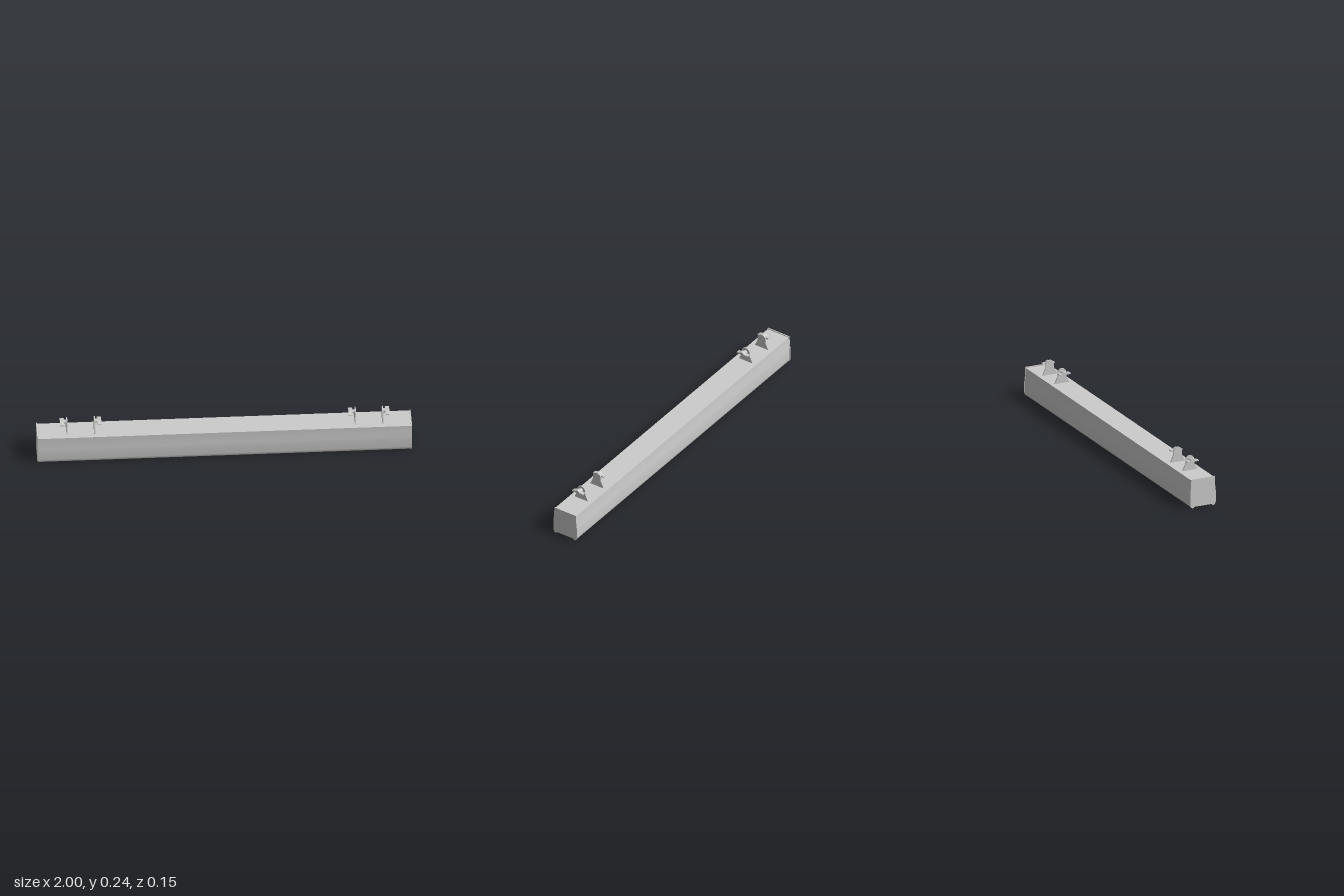
import * as THREE from 'three';
import { toCreasedNormals } from 'three/addons/utils/BufferGeometryUtils.js';

const material = new THREE.MeshStandardMaterial({ color: 0xcccccc });

function addMesh(parent, geometry, name) {
  const mesh = new THREE.Mesh(geometry, material);
  mesh.name = name;
  parent.add(mesh);
  return mesh;
}

// Extrude a (z, y) shape along x, from x0 to x1
function extrudeX(shape, x0, x1) {
  const g = new THREE.ExtrudeGeometry(shape, { depth: x1 - x0, bevelEnabled: false, curveSegments: 10 });
  g.rotateY(-Math.PI / 2).translate(x1, 0, 0);
  return toCreasedNormals(g, 0.6);
}

// Housing section: flared sides, rolled lower lips, recessed underside
function housingShape(inset, top, recess) {
  const w = 0.076 - inset, t = 0.07 - inset, b = inset;
  const s = new THREE.Shape();
  s.moveTo(-t, top);
  s.lineTo(-t - 0.001, 0.122);
  s.lineTo(-w + 0.001, 0.088);
  s.lineTo(-w, 0.075);
  s.lineTo(-w, 0.025);
  s.bezierCurveTo(-w, 0.01, -0.07, b, -0.061, b);
  s.quadraticCurveTo(-0.055, b, -0.051, recess);
  s.lineTo(0.051, recess);
  s.quadraticCurveTo(0.055, b, 0.061, b);
  s.bezierCurveTo(0.07, b, w, 0.01, w, 0.025);
  s.lineTo(w, 0.075);
  s.lineTo(w - 0.001, 0.088);
  s.lineTo(t + 0.001, 0.122);
  s.lineTo(t, top);
  s.closePath();
  return s;
}

// Upright tab: wide foot, narrowed neck, round head
function tabShape() {
  const s = new THREE.Shape();
  s.moveTo(0.041, 0.155);
  s.lineTo(0.041, 0.162);
  s.lineTo(0.025, 0.196);
  s.lineTo(0.025, 0.215);
  s.absarc(0, 0.215, 0.025, 0, Math.PI, false);
  s.lineTo(-0.025, 0.196);
  s.lineTo(-0.041, 0.162);
  s.lineTo(-0.041, 0.155);
  s.closePath();
  return s;
}

// Twisted wing of the clamp screw
function wingShape() {
  const s = new THREE.Shape();
  s.moveTo(0.037, 0.218);
  s.quadraticCurveTo(0.018, 0.223, 0.008, 0.228);
  s.quadraticCurveTo(-0.003, 0.231, -0.011, 0.219);
  s.lineTo(-0.032, 0.218);
  s.lineTo(-0.032, 0.212);
  s.quadraticCurveTo(-0.016, 0.208, -0.007, 0.204);
  s.quadraticCurveTo(0.006, 0.202, 0.014, 0.213);
  s.lineTo(0.037, 0.213);
  s.closePath();
  return s;
}

// Bracket with its clamp pointing to side (+1 or -1 along x)
function makeBracket(x, side) {
  const bracket = new THREE.Group();
  bracket.name = 'mountingBracket';
  addMesh(bracket, extrudeX(tabShape(), -0.003, 0.003), 'bracketTab');
  const span = (a, b) => (side > 0 ? [a, b] : [-b, -a]);
  addMesh(bracket, extrudeX(wingShape(), ...span(0.014, 0.036)), 'clampWing');
  const hub = new THREE.CylinderGeometry(0.011, 0.011, 0.034, 20);
  hub.rotateZ(Math.PI / 2).translate(side * 0.016, 0.216, 0);
  addMesh(bracket, hub, 'clampHub');
  bracket.position.x = x;
  return bracket;
}

export function createModel() {
  const model = new THREE.Group();
  model.name = 'linearHousing';

  addMesh(model, extrudeX(housingShape(0.002, 0.157, 0.011), -0.994, 0.994), 'housing');
  for (const side of [-1, 1]) {
    const cap = addMesh(model, extrudeX(housingShape(0, 0.162, 0.007), -0.003, 0.003), 'endCap');
    cap.position.x = side * 0.997;
  }

  // Two pairs of brackets, clamps facing away from each other
  for (const [x, side] of [[-0.84, -1], [-0.692, 1], [0.7, -1], [0.846, 1]]) {
    model.add(makeBracket(x, side));
  }
  return model;
}
